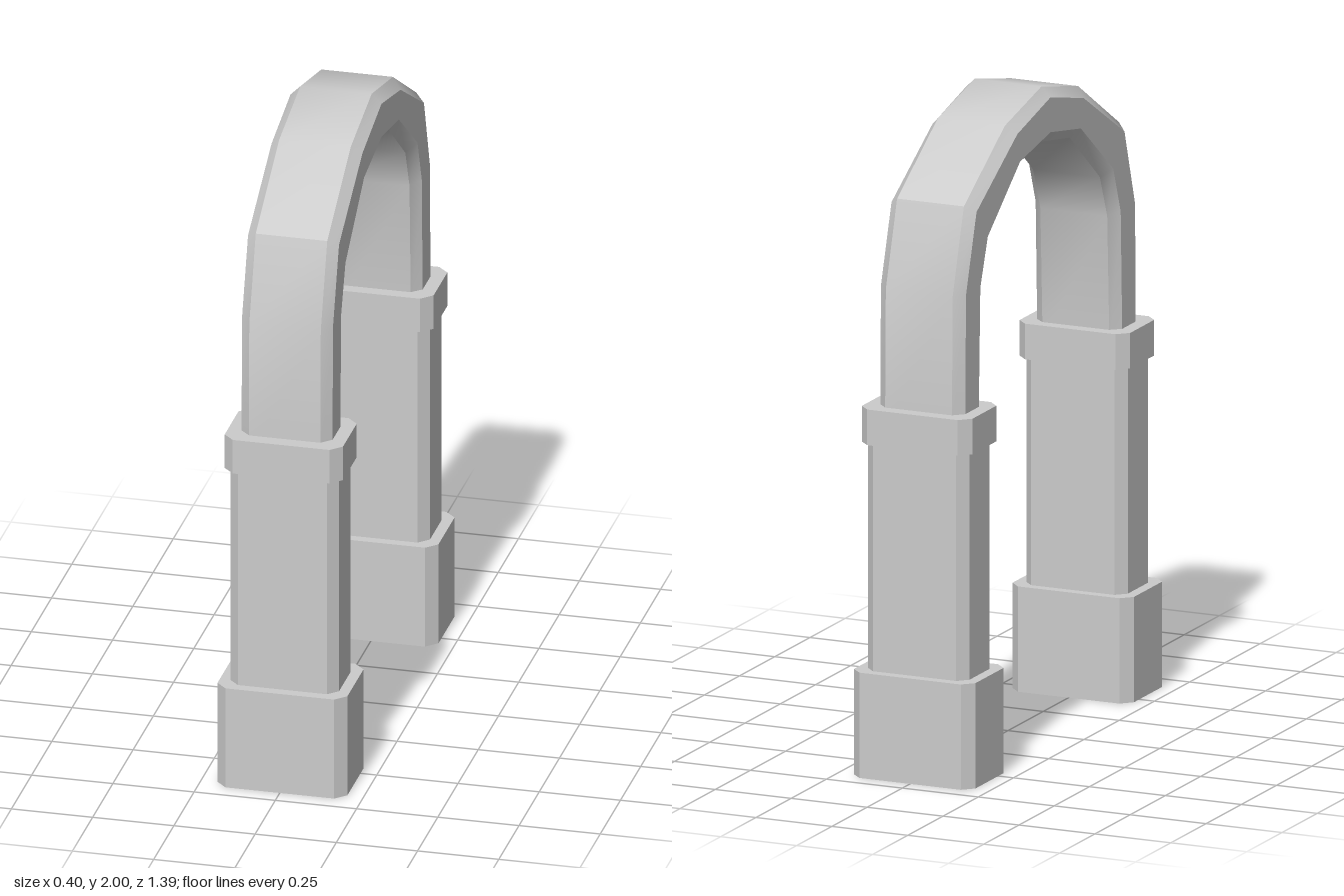
import * as THREE from 'three';
import { toCreasedNormals } from 'three/addons/utils/BufferGeometryUtils.js';

const material = new THREE.MeshStandardMaterial({ color: 0xcccccc });

// Upright block with chamfered vertical edges, centred on x
function chamferedBlock(name, halfX, z0, z1, y0, y1, c) {
  const h = (z1 - z0) / 2;
  const shape = new THREE.Shape([
    [halfX - c, -h], [halfX, c - h], [halfX, h - c], [halfX - c, h],
    [c - halfX, h], [-halfX, h - c], [-halfX, c - h], [c - halfX, -h],
  ].map(([x, y]) => new THREE.Vector2(x, y)));
  const geometry = new THREE.ExtrudeGeometry(shape, { depth: y1 - y0, bevelEnabled: false });
  geometry.rotateX(-Math.PI / 2).translate(0, y0, (z0 + z1) / 2);
  const mesh = new THREE.Mesh(geometry, material);
  mesh.name = name;
  return mesh;
}

// Arch: chamfered cross-section lofted along a faceted curve
function archGeometry() {
  // Each row holds [z, y] of the outer face, outer side edge, inner side edge, inner face
  const half = [
    [[0.635, 1.08], [0.605, 1.08], [0.51, 1.08], [0.483, 1.08]],
    [[0.63, 1.5], [0.6, 1.5], [0.498, 1.5], [0.467, 1.49]],
    [[0.55, 1.76], [0.525, 1.74], [0.445, 1.645], [0.415, 1.622]],
    [[0.26, 1.94], [0.235, 1.912], [0.215, 1.823], [0.2, 1.795]],
    [[0, 2], [0, 1.97], [0, 1.862], [0, 1.83]],
  ];
  const mirrored = half.slice(0, -1).reverse().map((row) => row.map(([z, y]) => [-z, y]));
  const xs = [0.11, 0.14, 0.14, 0.11];
  const rings = [...half, ...mirrored].map((row) => {
    const side = row.map(([z, y], i) => [xs[i], y, z]);
    return [...side, ...side.map(([x, y, z]) => [-x, y, z]).reverse()];
  });
  const positions = [];
  for (let i = 0; i < rings.length - 1; i++) {
    for (let j = 0; j < 8; j++) {
      const k = (j + 1) % 8;
      const [a, b, c, d] = [rings[i][j], rings[i][k], rings[i + 1][k], rings[i + 1][j]];
      positions.push(...a, ...b, ...c, ...a, ...c, ...d);
    }
  }
  const geometry = new THREE.BufferGeometry();
  geometry.setAttribute('position', new THREE.Float32BufferAttribute(positions, 3));
  return toCreasedNormals(geometry, THREE.MathUtils.degToRad(30));
}

export function createModel() {
  const model = new THREE.Group();
  model.name = 'archway';

  // Front and back pillars
  for (const [name, turn] of [['frontPillar', 0], ['backPillar', Math.PI]]) {
    const pillar = new THREE.Group();
    pillar.name = name;
    pillar.add(
      chamferedBlock('base', 0.2, 0.43, 0.695, 0, 0.325, 0.033),
      chamferedBlock('shaft', 0.167, 0.46, 0.663, 0.3, 1.05, 0.03),
      chamferedBlock('collar', 0.182, 0.442, 0.678, 1.025, 1.135, 0.033),
    );
    pillar.rotation.y = turn;
    model.add(pillar);
  }

  // Arch joining the pillars
  const arch = new THREE.Mesh(archGeometry(), material);
  arch.name = 'arch';
  model.add(arch);
  return model;
}
